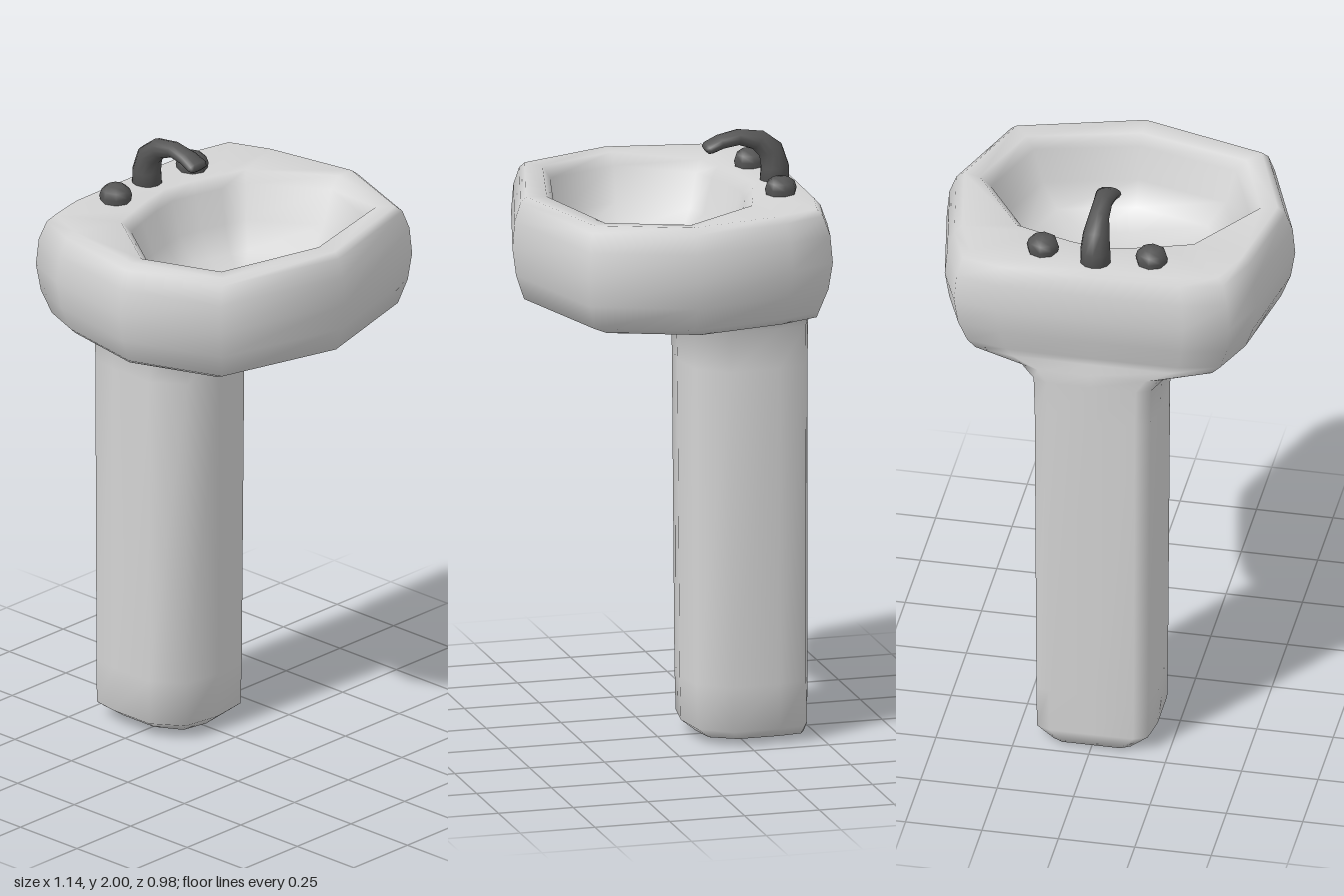
import * as THREE from 'three';

// Joins rings of equal point count into a smooth closed skin; start and end are cap centres.
function loft(rings, start, end) {
  const n = rings[0].length, pos = [], idx = [];
  rings.forEach(r => r.forEach(p => pos.push(...p)));
  for (let r = 0; r < rings.length - 1; r++) {
    for (let j = 0; j < n; j++) {
      const a = r * n + j, b = r * n + (j + 1) % n;
      idx.push(a, b, b + n, a, b + n, a + n);
    }
  }
  const s = rings.length * n, last = s - n;
  pos.push(...start, ...end);
  for (let j = 0; j < n; j++) {
    const k = (j + 1) % n;
    idx.push(s, k, j, s + 1, last + j, last + k);
  }
  const g = new THREE.BufferGeometry();
  g.setAttribute('position', new THREE.Float32BufferAttribute(pos, 3));
  g.setIndex(idx);
  g.computeVertexNormals();
  return g;
}

// Half outlines [x, z] from the front centre round to the back centre
const PEDESTAL = [[0, -0.07], [0.13, -0.09], [0.2, -0.19], [0.2, -0.35], [0.185, -0.44], [0.14, -0.46], [0, -0.46]];
const BASIN = [[0, 0.485], [0.445, 0.36], [0.57, 0.03], [0.51, -0.305], [0.45, -0.455], [0.305, -0.487], [0, -0.49]];
const BOWL = [[0, 0.37], [0.36, 0.28], [0.46, 0.02], [0.29, -0.23], [0.2, -0.26], [0.1, -0.29], [0, -0.31]];

// Mirrors a half outline into a full ring at height y, scaled about z = zc
function ring(half, y, sx = 1, sz = sx, zc = 0) {
  const right = half.map(([x, z]) => [x * sx, y, zc + (z - zc) * sz]);
  const left = right.slice(1, -1).reverse().map(([x, h, z]) => [-x, h, z]);
  return [...right, ...left];
}

export function createModel() {
  const group = new THREE.Group();
  const ceramic = new THREE.MeshStandardMaterial({ color: 0xd4d4d4 });
  ceramic.name = 'ceramic';
  const metal = new THREE.MeshStandardMaterial({ color: 0x555555 });
  metal.name = 'darkMetal';
  const add = (name, geometry, material) => {
    const mesh = new THREE.Mesh(geometry, material);
    mesh.name = name;
    group.add(mesh);
    return mesh;
  };

  // Pedestal, basin and bowl form one continuous skin
  add('pedestalBasin', loft([
    ring(PEDESTAL, 0.01, 0.68, 0.85, -0.46),
    ring(PEDESTAL, 0.05, 0.98, 0.98, -0.46),
    ring(PEDESTAL, 0.2, 0.99, 0.99, -0.46),
    ring(PEDESTAL, 1.25, 1.02, 1.01, -0.46),
    ring(PEDESTAL, 1.385, 1.04, 1.02, -0.46),
    ring(PEDESTAL, 1.43, 1.25, 1.18, -0.46),
    ring(BASIN, 1.465, 0.86, 0.86, -0.2),
    ring(BASIN, 1.49, 0.92),
    ring(BASIN, 1.57, 0.975),
    ring(BASIN, 1.66),
    ring(BASIN, 1.75, 0.985),
    ring(BASIN, 1.81, 0.945),
    ring(BASIN, 1.83, 0.9, 0.91),
    ring(BOWL, 1.825),
    ring(BOWL, 1.79, 0.92, 0.92, 0.06),
    ring(BOWL, 1.68, 0.83, 0.83, 0.07),
    ring(BOWL, 1.6, 0.68, 0.68, 0.08),
    ring(BOWL, 1.56, 0.38, 0.38, 0.08),
  ], [0, 0, -0.3], [0, 1.55, 0.07]), ceramic);

  // Spout: oval sections along an arc; each row is y, z, half width, half thickness, tilt
  const sections = [
    [1.8, -0.39, 0.05, 0.05, 0],
    [1.87, -0.392, 0.049, 0.046, 0.05],
    [1.925, -0.377, 0.043, 0.041, 0.45],
    [1.96, -0.335, 0.034, 0.034, 1.0],
    [1.974, -0.27, 0.031, 0.026, 1.57],
    [1.963, -0.21, 0.036, 0.023, 1.95],
    [1.946, -0.17, 0.041, 0.02, 2.2],
    [1.939, -0.16, 0.034, 0.014, 2.2],
  ];
  const spout = sections.map(([y, z, w, t, tilt]) => Array.from({ length: 12 }, (_, i) => {
    const a = i / 12 * Math.PI * 2, d = Math.cos(a) * t;
    return [Math.sin(a) * w, y - d * Math.sin(tilt), z + d * Math.cos(tilt)];
  }));
  add('spout', loft(spout, [0, 1.8, -0.39], [0, 1.937, -0.158]), metal);

  // Tap knobs: eight-sided domes
  const dome = [[0.046, 1.815], [0.053, 1.845], [0.046, 1.866], [0.027, 1.88], [0, 1.884]];
  for (const side of [-1, 1]) {
    const knob = add(side > 0 ? 'leftKnob' : 'rightKnob',
      new THREE.LatheGeometry(dome.map(p => new THREE.Vector2(...p)), 8), metal);
    knob.position.set(side * 0.178, 0, -0.36);
  }
  return group;
}
